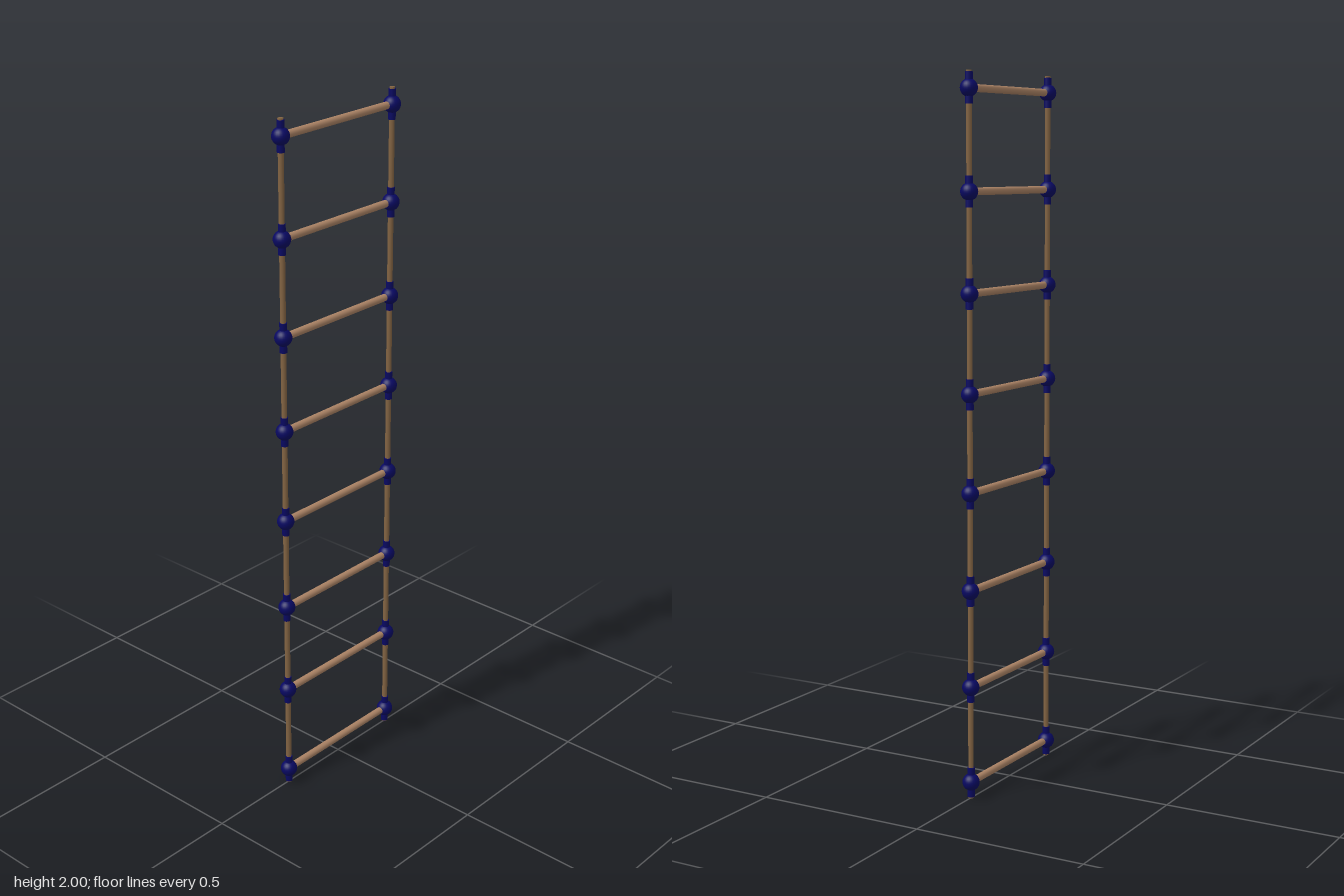
import * as THREE from 'three';

export function createModel() {
  const ladder = new THREE.Group();
  ladder.name = 'ropeLadder';

  const rope = new THREE.MeshStandardMaterial({ color: 0x836443 });
  rope.name = 'rope brown';
  const wood = new THREE.MeshStandardMaterial({ color: 0xaa8264 });
  wood.name = 'rung wood';
  const navy = new THREE.MeshStandardMaterial({ color: 0x080862 });
  navy.name = 'knot navy';

  const halfWidth = 0.218;
  const rungCount = 8;
  const firstRung = 0.046;
  const spacing = 0.2725;

  function add(parent, name, geometry, material, x, y) {
    const mesh = new THREE.Mesh(geometry, material);
    mesh.name = name;
    mesh.position.set(x, y, 0);
    parent.add(mesh);
    return mesh;
  }

  const ropeGeometry = new THREE.CylinderGeometry(0.0078, 0.0078, 2, 8);
  const rungGeometry = new THREE.CylinderGeometry(0.0105, 0.0105, halfWidth * 2, 16);
  rungGeometry.rotateZ(Math.PI / 2);
  const ballGeometry = new THREE.SphereGeometry(0.0242, 24, 16);
  const collarGeometry = new THREE.CylinderGeometry(0.0105, 0.0105, 0.084, 12);

  // Side ropes
  for (const side of [-1, 1]) {
    add(ladder, side > 0 ? 'leftRope' : 'rightRope', ropeGeometry, rope, side * halfWidth, 1);
  }

  // Rungs, each with a round knot and collar at both ends
  for (let i = 0; i < rungCount; i++) {
    const y = firstRung + i * spacing;
    add(ladder, 'rung', rungGeometry, wood, 0, y);
    for (const side of [-1, 1]) {
      const knot = new THREE.Group();
      knot.name = 'knot';
      add(knot, 'knotBall', ballGeometry, navy, 0, 0);
      add(knot, 'knotCollar', collarGeometry, navy, 0, 0);
      knot.position.set(side * halfWidth, y, 0);
      ladder.add(knot);
    }
  }
  return ladder;
}
